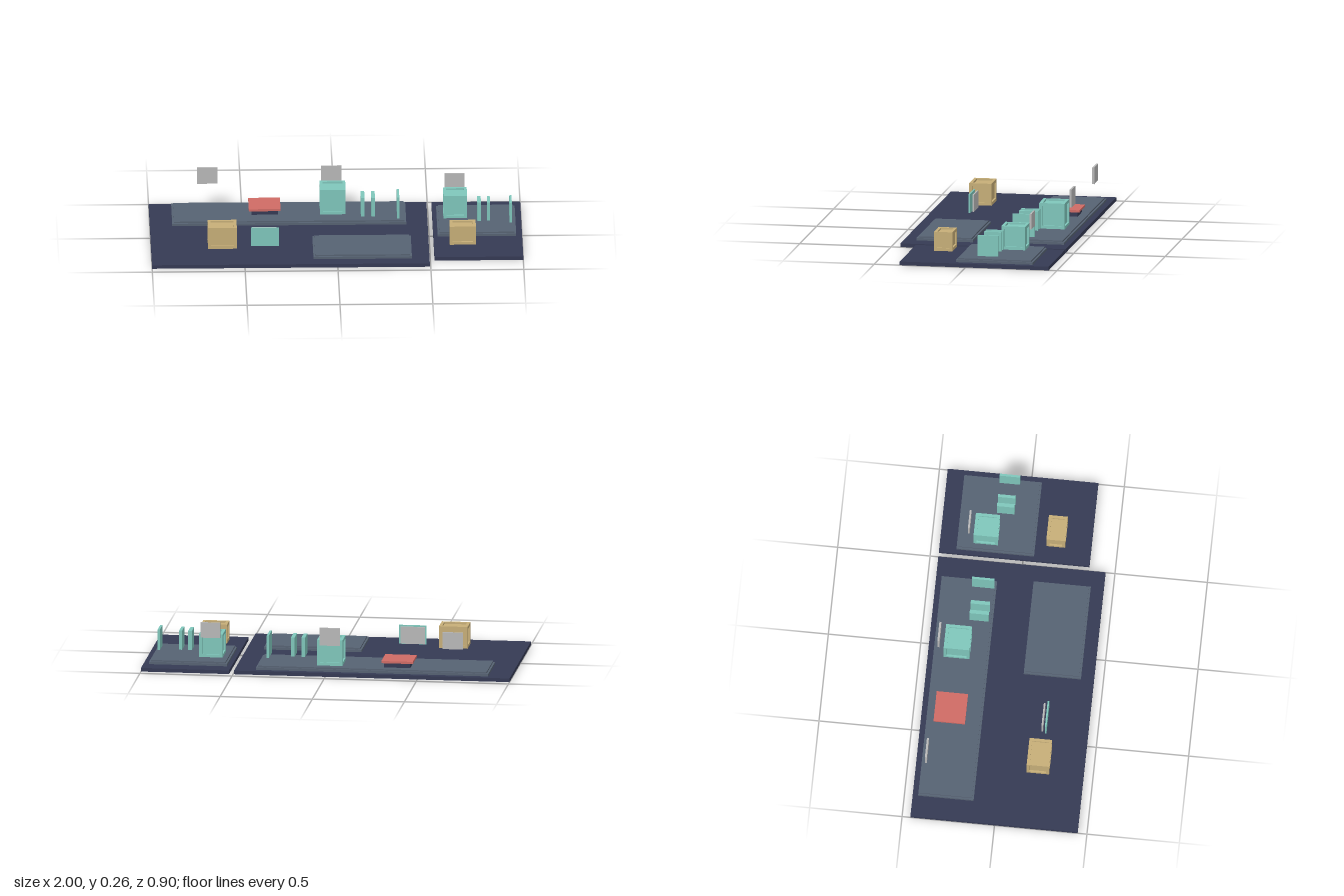
import * as THREE from 'three';

const mat = (name, color) => {
  const m = new THREE.MeshStandardMaterial({ color });
  m.name = name;
  return m;
};

export function createModel() {
  const navy = mat('navy floor', 0x353a54);
  const slate = mat('slate platform', 0x566272);
  const teal = mat('teal', 0x7fc6bb);
  const tan = mat('tan', 0xc6ae78);
  const red = mat('coral red', 0xcf6b65);
  const grey = mat('light grey', 0xb8b8b8);

  const model = new THREE.Group();
  model.name = 'roomLayout';

  // Box given by its extents along each axis
  const block = (name, material, [x0, x1], [y0, y1], [z0, z1], parent = model) => {
    const mesh = new THREE.Mesh(new THREE.BoxGeometry(x1 - x0, y1 - y0, z1 - z0), material);
    mesh.position.set((x0 + x1) / 2, (y0 + y1) / 2, (z0 + z1) / 2);
    mesh.name = name;
    parent.add(mesh);
    return mesh;
  };

  // Floors
  block('mainFloor', navy, [-1, 0.495], [0, 0.02], [-0.455, 0.45]);
  block('sideFloor', navy, [0.522, 1], [0, 0.02], [-0.455, 0.36]);

  // Two-step platforms: lower slab with a slightly inset top slab
  const platform = (name, [x0, x1], [z0, z1]) => {
    const g = new THREE.Group();
    g.name = name;
    const i = 0.01;
    block('lowerSlab', slate, [x0, x1], [0.021, 0.034], [z0, z1], g);
    block('upperSlab', slate, [x0 + i, x1 - i], [0.034, 0.042], [z0 + i, z1 - i], g);
    model.add(g);
  };
  platform('backPlatform', [-0.88, 0.38], [-0.425, -0.125]);
  platform('frontPlatform', [-0.13, 0.4], [0.07, 0.38]);
  platform('sidePlatform', [0.545, 0.968], [-0.362, 0.058]);

  // Crates: inset core with beams along all twelve edges
  const crate = (name, material, x, y, z) => {
    const g = new THREE.Group();
    g.name = name;
    const t = 0.016;
    const inset = ([a, b], d) => [a + d, b - d];
    block('core', material, inset(x, 0.01), inset(y, 0.01), inset(z, 0.01), g);
    const ends = ([a, b]) => [[a, a + t], [b - t, b]];
    for (const s of [0, 1]) for (const r of [0, 1]) {
      block('postBeam', material, ends(x)[s], y, ends(z)[r], g);
      block('longBeam', material, inset(x, t), ends(y)[s], ends(z)[r], g);
      block('crossBeam', material, ends(x)[s], ends(y)[r], inset(z, t), g);
    }
    model.add(g);
  };
  crate('mainTealCrate', teal, [-0.082, 0.056], [0.042, 0.182], [-0.368, -0.228]);
  crate('sideTealCrate', teal, [0.58, 0.708], [0.048, 0.176], [-0.273, -0.142]);
  crate('mainTanCrate', tan, [-0.695, -0.54], [0.04, 0.16], [0.143, 0.265]);
  crate('sideTanCrate', tan, [0.607, 0.748], [0.036, 0.14], [0.118, 0.22]);

  // Upright divider panels: centre x, thickness, y range, z range
  [
    [0.146, 0.02, [0.06, 0.166], [-0.25, -0.146]],
    [0.202, 0.02, [0.06, 0.166], [-0.25, -0.146]],
    [0.337, 0.012, [0.05, 0.174], [-0.257, -0.135]],
    [0.771, 0.02, [0.06, 0.166], [-0.165, -0.07]],
    [0.822, 0.016, [0.06, 0.166], [-0.165, -0.07]],
    [0.941, 0.012, [0.055, 0.168], [-0.168, -0.057]],
  ].forEach(([x, t, y, z]) => block('dividerPanel', teal, [x - t / 2, x + t / 2], y, z));

  // Front screen with its grey backing plate
  block('screenPanel', teal, [-0.462, -0.313], [0.04, 0.143], [0.218, 0.227]);
  block('screenBacking', grey, [-0.456, -0.325], [0.045, 0.138], [0.199, 0.208]);

  // Hanging signs
  block('hangingSign', grey, [-0.74, -0.63], [0.16, 0.252], [-0.403, -0.392]);
  block('hangingSign', grey, [-0.073, 0.038], [0.16, 0.257], [-0.403, -0.392]);
  block('hangingSign', grey, [0.59, 0.696], [0.162, 0.246], [-0.305, -0.295]);

  // Low table
  block('tableBase', navy, [-0.45, -0.308], [0.042, 0.068], [-0.37, -0.23]);
  block('tableTop', red, [-0.466, -0.295], [0.068, 0.08], [-0.384, -0.214]);

  return model;
}
